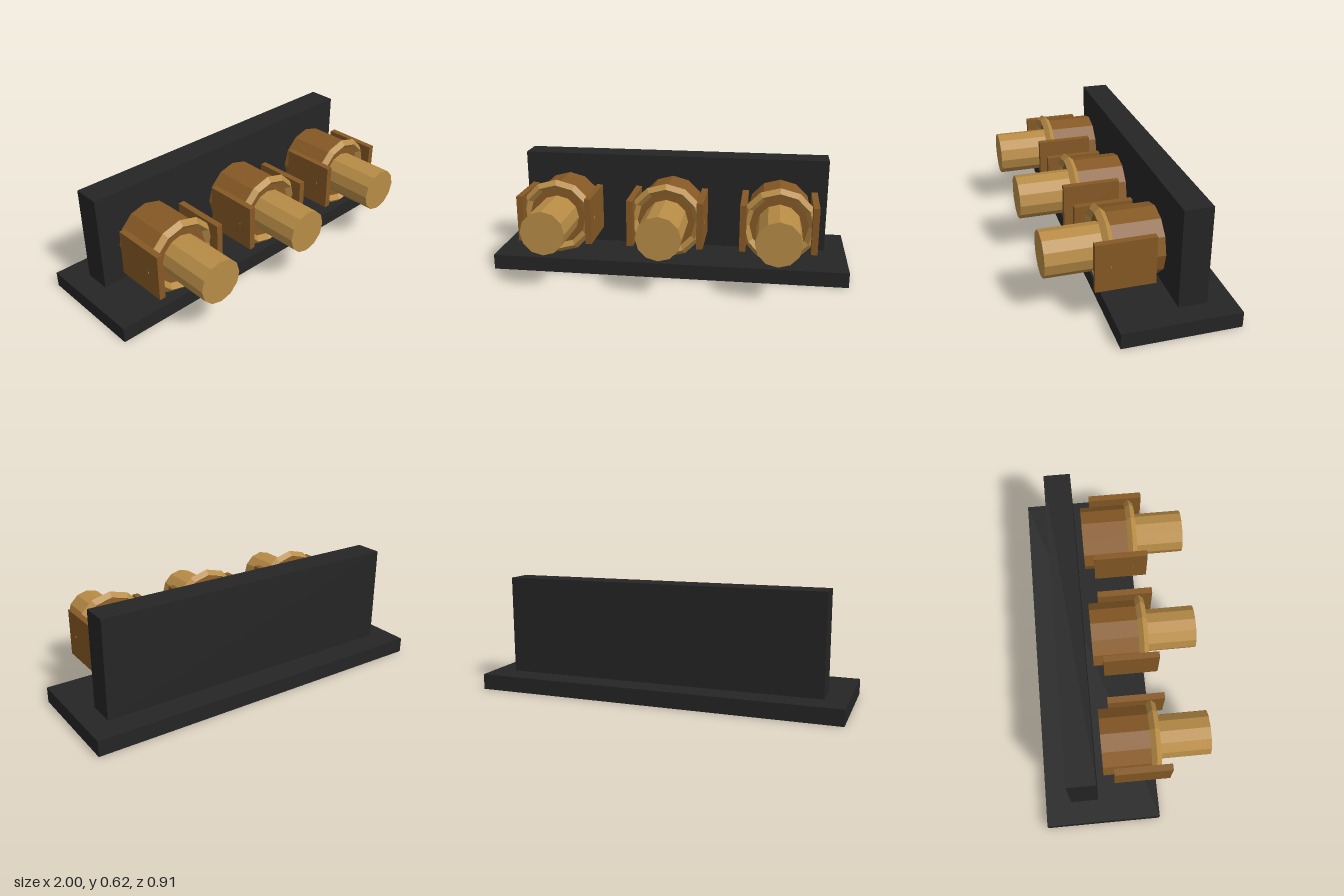
import * as THREE from 'three';

const flat = (name, color) => {
  const m = new THREE.MeshStandardMaterial({ color, flatShading: true });
  m.name = name;
  return m;
};

export function createModel() {
  const black = flat('black', 0x252525);
  const brown = flat('brown', 0x865925);
  const gold = flat('gold', 0xb88c46);
  const root = new THREE.Group();
  root.name = 'mountedUnits';

  const add = (parent, name, geometry, material, x, y, z) => {
    const mesh = new THREE.Mesh(geometry, material);
    mesh.name = name;
    mesh.position.set(x, y, z);
    parent.add(mesh);
  };
  // Twelve-sided cylinder lying along z
  const drum = (r, length) => new THREE.CylinderGeometry(r, r, length, 12).rotateX(Math.PI / 2);

  // Stand
  add(root, 'basePlate', new THREE.BoxGeometry(2, 0.085, 0.62), black, 0, 0.0425, -0.145);
  add(root, 'backPanel', new THREE.BoxGeometry(1.76, 0.535, 0.15), black, 0, 0.3525, -0.24);

  // Three identical units in a row
  for (const x of [-0.61, 0, 0.61]) {
    const unit = new THREE.Group();
    unit.name = 'unit';
    unit.position.set(x, 0.335, 0);
    add(unit, 'body', drum(0.18, 0.282), brown, 0, 0, 0.016);
    add(unit, 'barrel', drum(0.12, 0.315), gold, 0, 0, 0.2975);
    add(unit, 'rim', new THREE.TorusGeometry(0.184, 0.026, 4, 12), gold, 0, 0, 0.157);
    for (const side of [-1, 1])
      add(unit, 'sidePlate', new THREE.BoxGeometry(0.034, 0.256, 0.305), brown, side * 0.19, 0, 0.083);
    root.add(unit);
  }
  return root;
}
